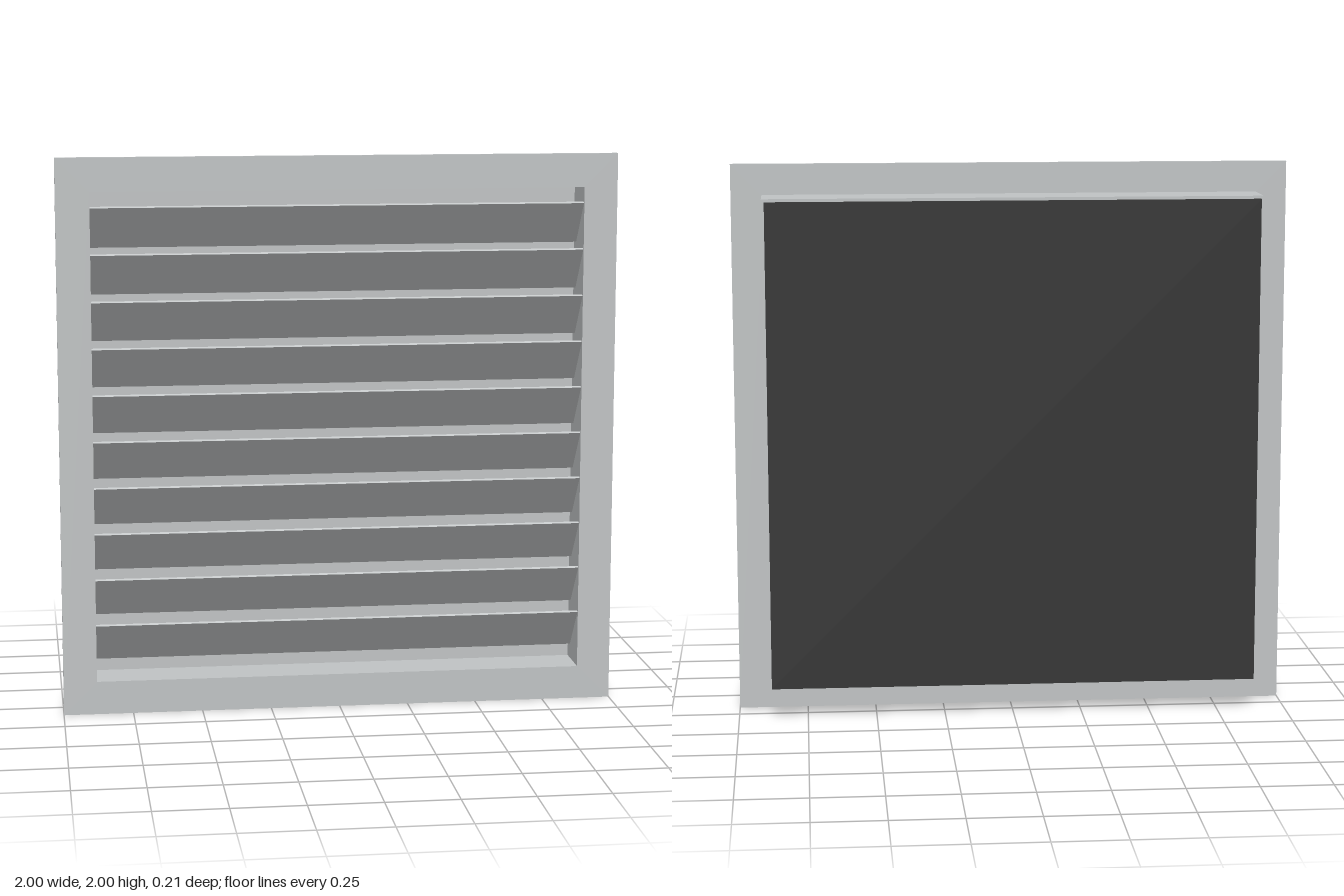
import * as THREE from 'three';

const metal = new THREE.MeshStandardMaterial({ color: 0xc0c3c4 });
metal.name = 'light grey metal';
const dark = new THREE.MeshStandardMaterial({ color: 0x353535 });
dark.name = 'dark screen';

// Square ring in the xy plane, from z0 to z1
function ring(name, outer, inner, z0, z1) {
  const square = (path, r) =>
    path.moveTo(-r, -r).lineTo(r, -r).lineTo(r, r).lineTo(-r, r).closePath();
  const shape = square(new THREE.Shape(), outer);
  shape.holes.push(square(new THREE.Path(), inner));
  const geometry = new THREE.ExtrudeGeometry(shape, { depth: z1 - z0, bevelEnabled: false });
  const mesh = new THREE.Mesh(geometry, metal);
  mesh.name = name;
  mesh.position.set(0, 1, z0);
  return mesh;
}

function box(name, w, h, d, y, z, material) {
  const mesh = new THREE.Mesh(new THREE.BoxGeometry(w, h, d), material);
  mesh.name = name;
  mesh.position.set(0, y, z);
  return mesh;
}

export function createModel() {
  const model = new THREE.Group();
  model.name = 'ventGrille';

  // Front flange and the duct sleeve behind it
  model.add(ring('flange', 1, 0.88, 0.084, 0.105));
  model.add(ring('sleeve', 0.89, 0.88, -0.088, 0.084));

  // Inner backing and the dark screen over the rear
  model.add(box('backPanel', 1.76, 1.76, 0.02, 1, -0.068, metal));
  model.add(box('rearScreen', 1.76, 1.76, 0.009, 1, -0.1, dark));

  // Tilted slats: upper edge forward, lower edge back
  const slats = new THREE.Group();
  slats.name = 'slats';
  const count = 10, pitch = 1 / 6, drop = 0.15, depth = 0.12;
  for (let i = 0; i < count; i++) {
    const y = 1 + (i - (count - 1) / 2) * pitch;
    const slat = box('slat' + (i + 1), 1.76, Math.hypot(drop, depth), 0.008, y, 0.035, metal);
    slat.rotation.x = Math.atan2(depth, drop);
    slats.add(slat);
  }
  model.add(slats);
  return model;
}
